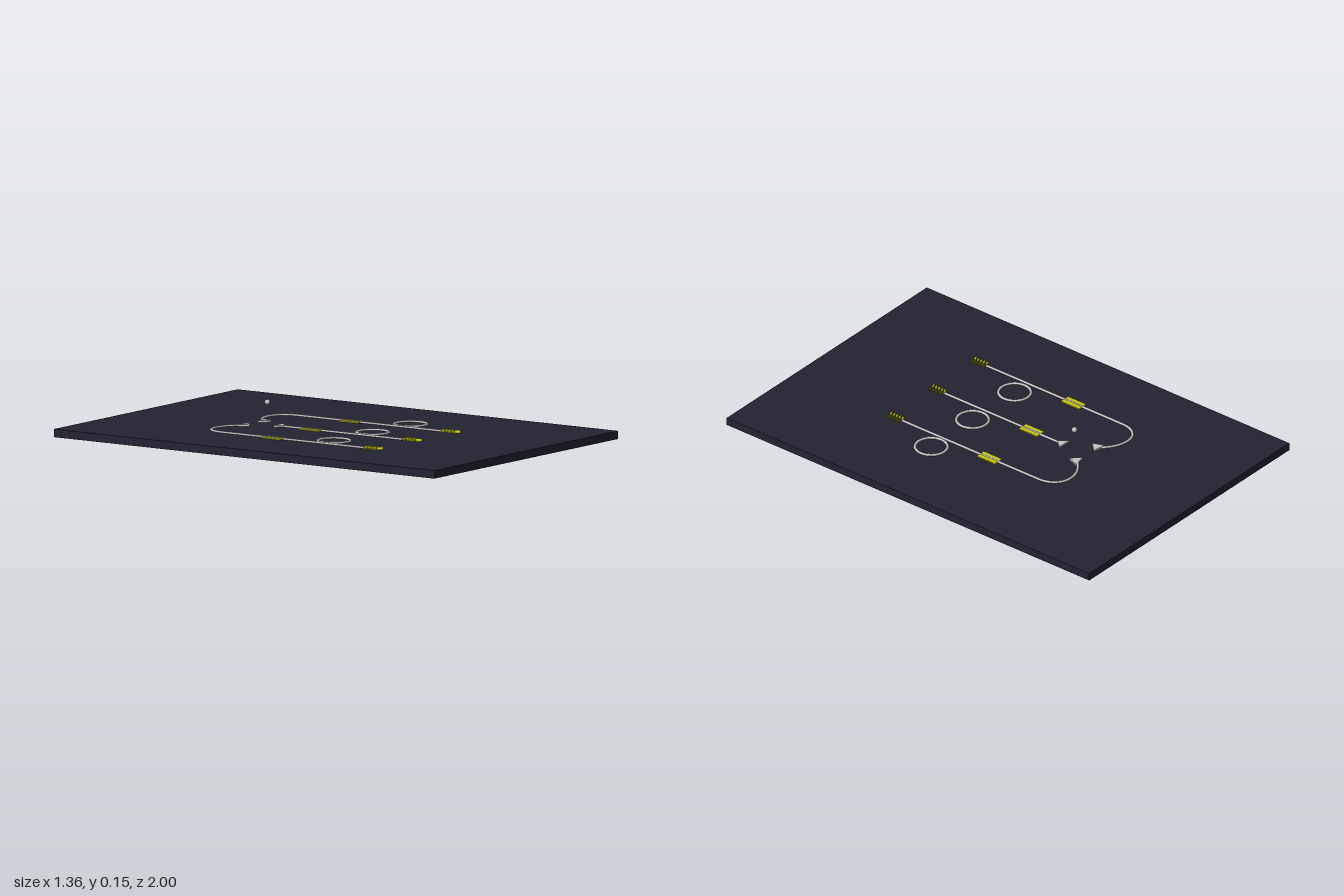
import * as THREE from 'three';

const flat = (color, name) => {
  const m = new THREE.MeshStandardMaterial({ color });
  m.name = name;
  return m;
};

export function createModel() {
  const navy = flat(0x222233, 'navy board');
  const silver = flat(0xc8c0c0, 'silver');
  const yellow = flat(0xcccc11, 'yellow');
  const model = new THREE.Group();
  const TOP = 0.035;
  const lineY = 0.037;

  function add(name, geometry, material, x = 0, y = 0, z = 0, parent = model) {
    const mesh = new THREE.Mesh(geometry, material);
    mesh.name = name;
    mesh.position.set(x, y, z);
    parent.add(mesh);
    return mesh;
  }

  // Board
  add('board', new THREE.BoxGeometry(1.36, TOP, 2), navy, 0, TOP / 2, 0);

  // Flat triangular arrowhead from three [x, z] corners
  function arrowhead(points) {
    const shape = new THREE.Shape(points.map(([x, z]) => new THREE.Vector2(x, -z)));
    const geo = new THREE.ExtrudeGeometry(shape, { depth: 0.009, bevelEnabled: false });
    geo.rotateX(-Math.PI / 2);
    add('arrowhead', geo, silver, 0, TOP - 0.001, 0);
  }

  // Arrow shaft: straight from the tail, then an optional hook (side = direction it bends)
  function shaft(x, side) {
    const v = (dx, z) => new THREE.Vector3(x + side * dx, lineY, z);
    const path = new THREE.CurvePath();
    path.add(new THREE.LineCurve3(v(0, 0.4), v(0, side ? -0.35 : -0.25)));
    if (side) {
      path.add(new THREE.CubicBezierCurve3(v(0, -0.35), v(0, -0.415), v(0.04, -0.453), v(0.092, -0.453)));
      path.add(new THREE.CubicBezierCurve3(v(0.092, -0.453), v(0.14, -0.453), v(0.175, -0.43), v(0.215, -0.39)));
    }
    add('shaft', new THREE.TubeGeometry(path, side ? 96 : 8, 0.0058, 8), silver);
  }

  // Chevron fletching: pairs of tilted barbs swept towards the tail
  const barb = new THREE.BoxGeometry(0.027, 0.003, 0.015);
  function fletching(x) {
    const group = new THREE.Group();
    group.name = 'fletching';
    group.position.set(x, 0.0395, 0);
    model.add(group);
    for (let i = 0; i < 5; i++) {
      for (const s of [-1, 1]) {
        const mesh = add('barb', barb, yellow, s * 0.0115, 0, 0.407 + i * 0.0158, group);
        mesh.rotation.set(0.8, -s * 0.55, 0, 'YXZ');
      }
    }
  }

  // Three arrows, each with a band, fletching and a ring beside it
  const arrows = [[-0.347, 1, -0.257], [-0.061, 0, 0.029], [0.225, -1, 0.31]];
  for (const [x, side, ringX] of arrows) {
    shaft(x, side);
    add('band', new THREE.BoxGeometry(0.048, 0.006, 0.1), yellow, x, TOP + 0.002, -0.08);
    fletching(x);
    const ring = add('ring', new THREE.TorusGeometry(0.07, 0.006, 8, 48), silver, ringX, lineY, 0.172);
    ring.rotation.x = -Math.PI / 2;
  }

  // Arrowheads: one straight, two mirrored about the middle arrow
  arrowhead([[-0.095, -0.262], [-0.061, -0.222], [-0.027, -0.262]]);
  for (const s of [-1, 1]) {
    const corners = [[0.098, -0.405], [0.036, -0.394], [0.078, -0.352]];
    arrowhead(corners.map(([dx, z]) => [-0.061 + s * dx, z]));
  }

  // Small ball floating above the board
  add('ball', new THREE.SphereGeometry(0.012, 24, 16), silver, -0.06, 0.135, -0.318);

  return model;
}
